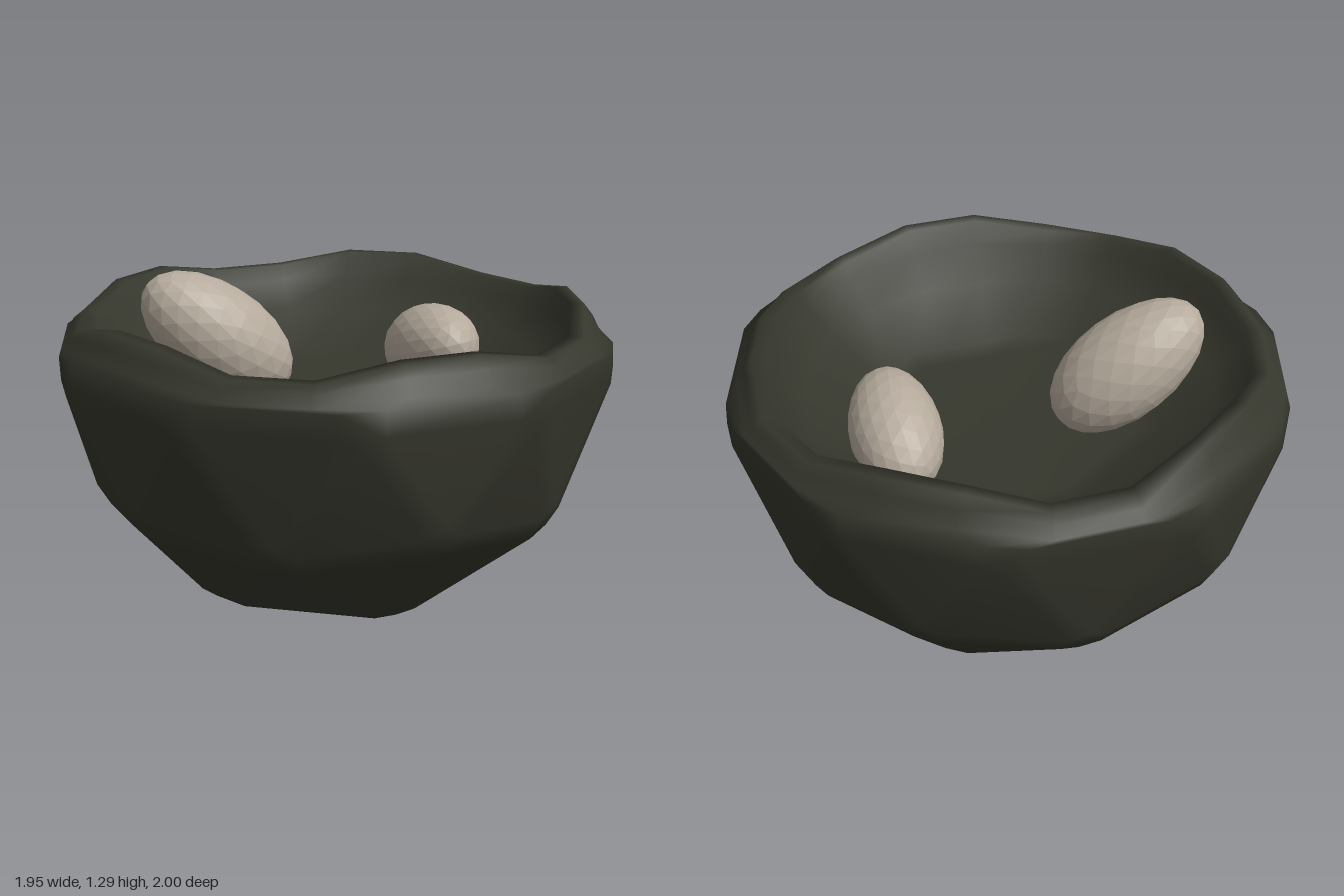
import * as THREE from 'three';
import { mergeVertices } from 'three/addons/utils/BufferGeometryUtils.js';
import { ConvexGeometry } from 'three/addons/geometries/ConvexGeometry.js';

const SIDES = 20;      // points around the rim
const RIM = 0.06;      // where the lip starts, above the widest level
const RIM_RADIUS = 0.968;
const CENTRE_Y = 1.004;

// 80-sided ball standing on a vertex, with a lower corner pointing to -x
function facetedBall(radius) {
  const verts = [0, -1, 0], faces = [];
  for (const [y, turn] of [[-1, Math.PI / 5], [1, 0]]) {
    for (let i = 0; i < 5; i++) {
      const a = turn + i * Math.PI * 0.4;
      verts.push(Math.cos(a) * 2 / Math.sqrt(5), y / Math.sqrt(5), Math.sin(a) * 2 / Math.sqrt(5));
    }
  }
  verts.push(0, 1, 0);
  for (let i = 0; i < 5; i++) {
    const n = (i + 1) % 5;
    faces.push(0, 1 + i, 1 + n, 11, 6 + n, 6 + i);
    faces.push(1 + i, 6 + n, 1 + n, 6 + i, 6 + n, 1 + i);
  }
  return new THREE.PolyhedronGeometry(verts, faces, radius, 1);
}

// Ring of points; pent blends from a circle (0) to a pentagon (1)
function ring(r, y, pent = 0) {
  return Array.from({ length: SIDES }, (_, i) => {
    const a = (i + 0.5) / SIDES * Math.PI * 2;
    const off = (a + Math.PI / 5) % (Math.PI * 0.4) - Math.PI / 5;
    const k = r * (1 - pent + pent * Math.cos(Math.PI / 5) / Math.cos(Math.PI / 5 - Math.abs(off)));
    return new THREE.Vector3(k * Math.cos(a), y, k * Math.sin(a));
  });
}

// Outer half ball: the hull around shrunken facets gives bevelled edges
function outerShell() {
  const pos = facetedBall(1.03).attributes.position;
  const points = ring(RIM_RADIUS, RIM);
  for (let i = 0; i < pos.count; i += 3) {
    const c = [0, 1, 2].map(k => new THREE.Vector3().fromBufferAttribute(pos, i + k));
    const mid = c[0].clone().add(c[1]).add(c[2]).divideScalar(3);
    for (const p of c) {
      p.lerp(mid, 0.25);
      if (p.y < RIM - 0.005) points.push(p);
    }
  }
  const hull = new ConvexGeometry(points).attributes.position;
  const out = [];
  for (let i = 0; i < hull.count; i += 3) {
    const t = [0, 1, 2].map(k => new THREE.Vector3().fromBufferAttribute(hull, i + k));
    if (Math.min(t[0].y, t[1].y, t[2].y) < RIM - 1e-4) out.push(...t); // leave the mouth open
  }
  return out;
}

function bowlGeometry() {
  const tris = outerShell();
  // Rounded lip, then sloping walls down to a shallow five-cornered floor
  const rings = [
    ring(RIM_RADIUS, RIM), ring(0.94, 0.105), ring(0.908, 0.138), ring(0.858, 0.138), ring(0.85, RIM),
    ring(0.77, -0.04, 0.3), ring(0.6, -0.165, 1), ring(0.5, -0.18, 1), ring(0, -0.2)
  ];
  for (let k = 0; k < rings.length - 1; k++) {
    for (let j = 0; j < SIDES; j++) {
      const n = (j + 1) % SIDES, a = rings[k], b = rings[k + 1];
      tris.push(a[j], b[j], a[n]);
      if (k < rings.length - 2) tris.push(b[j], b[n], a[n]);
    }
  }
  // Five gentle waves around the lip, strongest at its top
  const placed = tris.map(p => {
    const q = p.clone();
    if (q.y > RIM - 1e-4) {
      const w = Math.cos(5 * Math.atan2(q.z, q.x));
      const s = 1 + 0.02 * w;
      q.set(q.x * s, q.y - w * (0.015 + 0.3 * (q.y - RIM)), q.z * s);
    }
    q.y += CENTRE_Y;
    return q;
  });
  const geo = mergeVertices(new THREE.BufferGeometry().setFromPoints(placed), 1e-4);
  geo.computeVertexNormals();
  return geo;
}

// Egg whose narrow end points along the given direction
function egg(name, centre, direction, length, width, material) {
  const geo = new THREE.IcosahedronGeometry(1, 3);
  const pos = geo.attributes.position;
  for (let i = 0; i < pos.count; i++) {
    const y = pos.getY(i), r = width * (1 - 0.05 * y);
    pos.setXYZ(i, pos.getX(i) * r, y * length, pos.getZ(i) * r);
  }
  geo.computeVertexNormals();
  const mesh = new THREE.Mesh(geo, material);
  mesh.name = name;
  mesh.position.set(...centre);
  mesh.quaternion.setFromUnitVectors(new THREE.Vector3(0, 1, 0), new THREE.Vector3(...direction).normalize());
  return mesh;
}

export function createModel() {
  const group = new THREE.Group();
  group.name = 'bowlWithEggs';

  const bowl = new THREE.Mesh(bowlGeometry(), new THREE.MeshStandardMaterial({ color: 0x35362c }));
  bowl.name = 'bowl';

  const eggMaterial = new THREE.MeshStandardMaterial({ color: 0xb5aa9c, flatShading: true });
  group.add(
    bowl,
    egg('frontEgg', [-0.338, 1.05, 0.258], [-0.53, 0.62, 0.57], 0.32, 0.184, eggMaterial),
    egg('backEgg', [0.187, 0.928, -0.41], [0.74, 0.27, 0.61], 0.264, 0.164, eggMaterial)
  );
  return group;
}
